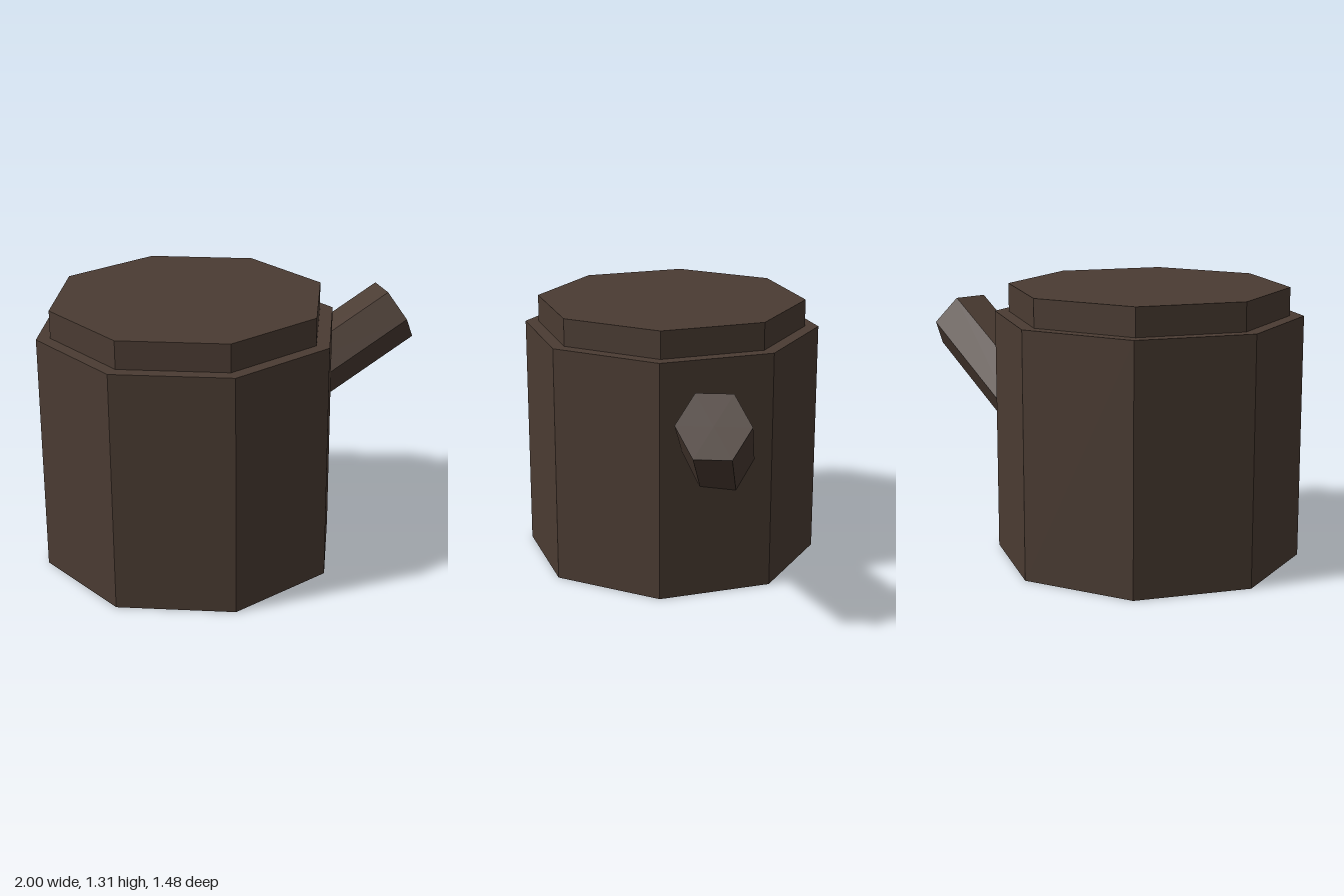
import * as THREE from 'three';

export function createModel() {
  const group = new THREE.Group();
  const darkBrown = new THREE.MeshStandardMaterial({ color: 0x4a3b32 });
  darkBrown.name = 'dark brown';

  // Faceted prism: flat normals on every side
  function prism(name, radius, height, sides) {
    const geometry = new THREE.CylinderGeometry(radius, radius, height, sides).toNonIndexed();
    geometry.computeVertexNormals();
    const mesh = new THREE.Mesh(geometry, darkBrown);
    mesh.name = name;
    group.add(mesh);
    return mesh;
  }

  const centreX = -0.262;

  // Octagonal body and the slightly narrower cap on top
  prism('body', 0.738, 1.178, 8).position.set(centreX, 0.589, 0);
  prism('cap', 0.671, 0.135, 8).position.set(centreX, 1.2455, 0);

  // Hexagonal branch stub, rising 30 degrees and rooted inside the body
  const length = 0.85;
  const tilt = Math.PI / 6;
  const branch = prism('branch', 0.169, length, 6);
  branch.rotation.z = tilt - Math.PI / 2;
  branch.position.set(
    0.926 - Math.cos(tilt) * length / 2,
    1.029 - Math.sin(tilt) * length / 2,
    -0.27
  );

  return group;
}
